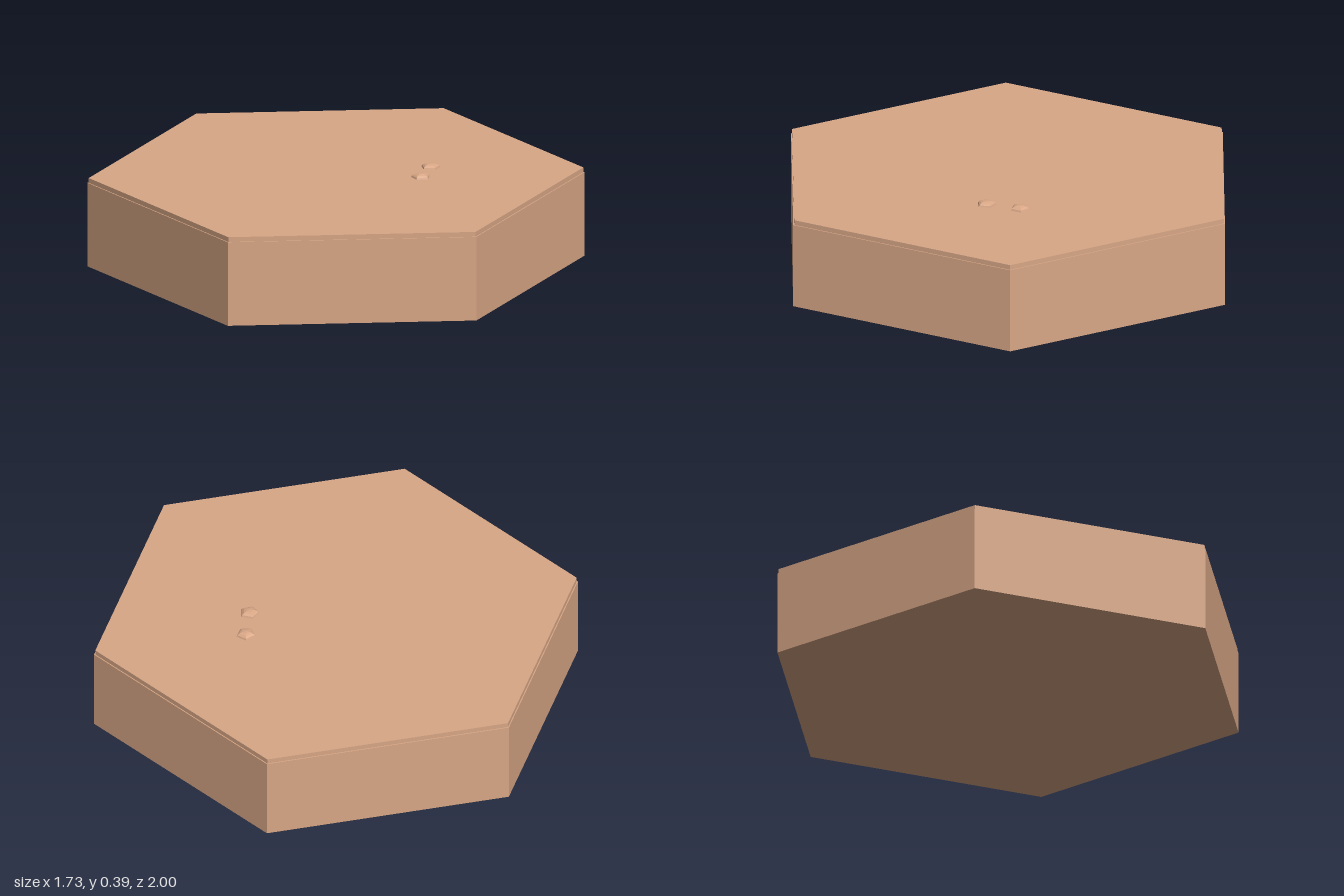
import * as THREE from 'three';

export function createModel() {
  const group = new THREE.Group();
  const earth = new THREE.MeshStandardMaterial({ color: 0xd9a786 });
  earth.name = 'sandy earth';

  const add = (name, geometry, x, y, z) => {
    const mesh = new THREE.Mesh(geometry, earth);
    mesh.name = name;
    mesh.position.set(x, y, z);
    group.add(mesh);
    return mesh;
  };

  // Each face gets its own normals so the facets stay sharp
  const faceted = (geometry) => {
    const flat = geometry.toNonIndexed();
    flat.computeVertexNormals();
    return flat;
  };

  // Six-sided block with corners on the z axis, and a slightly inset top layer
  add('tileBase', faceted(new THREE.CylinderGeometry(1, 1, 0.35, 6)), 0, 0.175, 0);
  add('tileTop', faceted(new THREE.CylinderGeometry(0.995, 0.995, 0.02, 6)), 0, 0.36, 0);

  // Two flattened five-sided pebbles, half sunk into the top
  const pebble = faceted(
    new THREE.SphereGeometry(0.04, 5, 4, 0, Math.PI * 2, 0, Math.PI / 2).scale(1, 0.45, 1)
  );
  [[0.31, -0.23, 0], [0.335, -0.09, 0.3]].forEach(([x, z, turn], i) => {
    add('pebble' + (i + 1), pebble, x, 0.37, z).rotation.y = turn;
  });

  return group;
}
